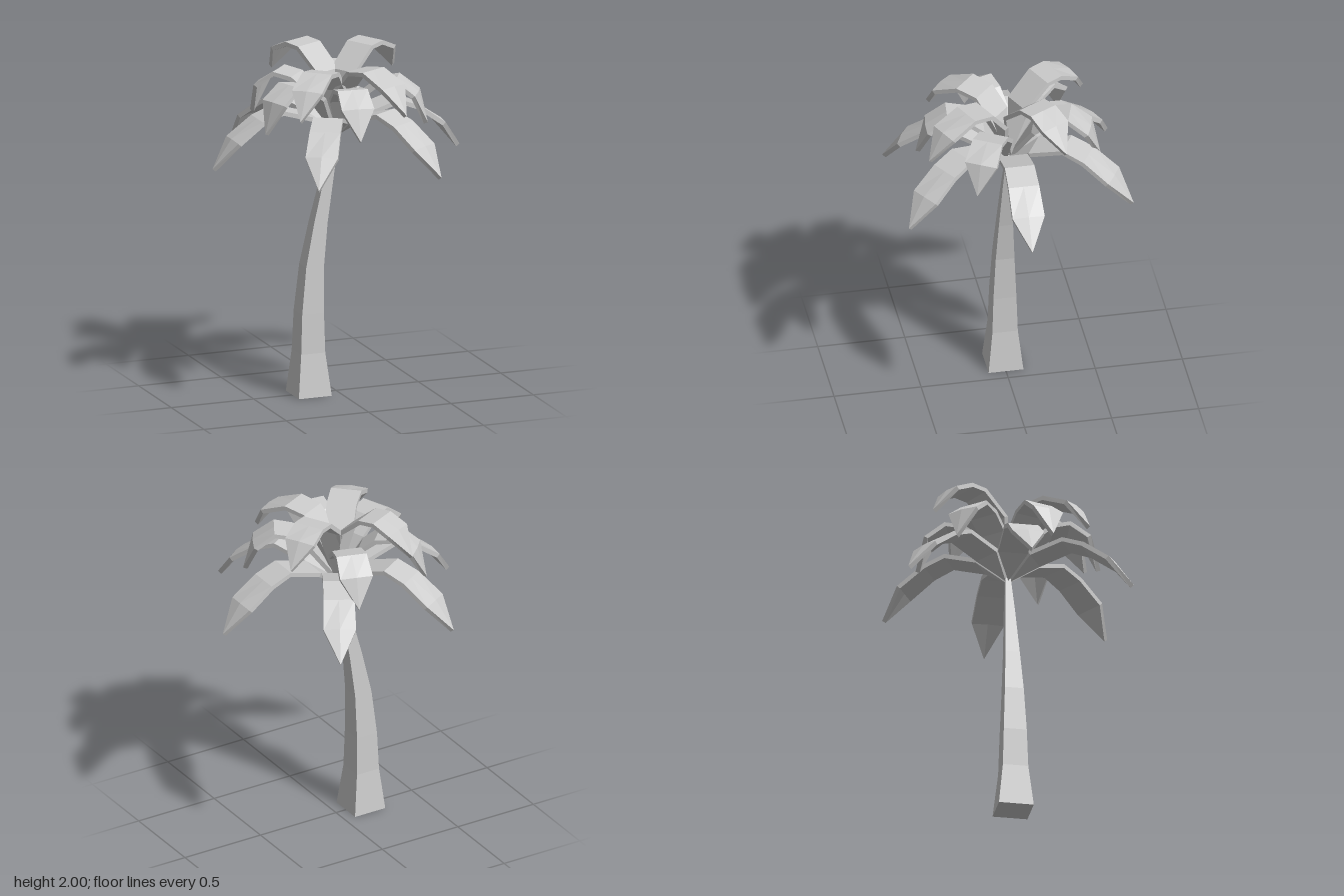
import * as THREE from 'three';

const material = new THREE.MeshStandardMaterial({ color: 0xcccccc, flatShading: true });

// Closed skin over a row of rings, with both ends capped; empty triangles are dropped
function loft(rings) {
  const out = [];
  const tri = (a, b, c) => {
    const n = b.clone().sub(a).cross(c.clone().sub(a));
    if (n.length() > 1e-9) out.push(...a.toArray(), ...b.toArray(), ...c.toArray());
  };
  const count = rings[0].length;
  for (let s = 0; s < rings.length - 1; s++) {
    const a = rings[s], b = rings[s + 1];
    for (let i = 0; i < count; i++) {
      const j = (i + 1) % count;
      tri(a[i], a[j], b[j]);
      tri(a[i], b[j], b[i]);
    }
  }
  const first = rings[0], last = rings[rings.length - 1];
  for (let i = 1; i < count - 1; i++) {
    tri(first[0], first[i + 1], first[i]);
    tri(last[0], last[i], last[i + 1]);
  }
  const geometry = new THREE.BufferGeometry();
  geometry.setAttribute('position', new THREE.Float32BufferAttribute(out, 3));
  geometry.computeVertexNormals();
  return geometry;
}

// Leaf along +x from a profile of [distance, height, half width, ridge]
function leafGeometry(profile, thickness = 0.026) {
  const rings = profile.map(([r, y, w, ridge = 0], i) => {
    const p = profile[Math.max(i - 1, 0)], q = profile[Math.min(i + 1, profile.length - 1)];
    const normal = new THREE.Vector2(p[1] - q[1], q[0] - p[0]).normalize();
    const point = (offset, z) => new THREE.Vector3(r + normal.x * offset, y + normal.y * offset, z);
    return [
      point(0, -w), point(ridge, 0), point(0, w),
      point(-thickness, w), point(ridge - thickness, 0), point(-thickness, -w),
    ];
  });
  return loft(rings);
}

// Leaf tiers: side profile and compass angles (degrees from +x towards +z)
const tiers = [
  {
    name: 'lowerLeaf',
    angles: [0, 59, 119, 180, 239, 299.5],
    profile: [[0, 1.52, 0], [0.15, 1.63, 0.085], [0.35, 1.69, 0.085], [0.48, 1.64, 0.088], [0.63, 1.53, 0.092, 0.008], [0.75, 1.37, 0]],
  },
  {
    name: 'middleLeaf',
    angles: [30, 96, 161, 224, 287],
    profile: [[0, 1.53, 0], [0.14, 1.75, 0.08], [0.24, 1.83, 0.085], [0.35, 1.85, 0.088], [0.465, 1.765, 0.095, 0.008], [0.525, 1.59, 0]],
  },
  {
    name: 'upperFrontLeaf',
    angles: [65, 133],
    profile: [[0, 1.55, 0], [0.06, 1.79, 0.085], [0.16, 1.91, 0.085], [0.29, 1.93, 0.088], [0.45, 1.86, 0.092, 0.008], [0.55, 1.71, 0]],
  },
  {
    name: 'upperBackLeaf',
    angles: [245, 331],
    profile: [[0, 1.55, 0], [0.06, 1.86, 0.085], [0.21, 1.99, 0.09], [0.31, 2.0, 0.09], [0.42, 1.95, 0.092, 0.008], [0.52, 1.81, 0]],
  },
];

export function createModel() {
  const tree = new THREE.Group();
  tree.name = 'palmTree';

  // Square, tapering, leaning trunk: [height, centre x, half width]
  const trunkRings = [
    [0, -0.165, 0.1], [0.25, -0.167, 0.073], [0.48, -0.165, 0.066], [0.75, -0.148, 0.054],
    [1.0, -0.108, 0.041], [1.3, -0.046, 0.027], [1.53, 0.005, 0.014],
  ].map(([y, x, h]) =>
    [[-1, 1], [1, 1], [1, -1], [-1, -1]].map(([sx, sz]) => new THREE.Vector3(x + sx * h, y, sz * h)));
  const trunk = new THREE.Mesh(loft(trunkRings), material);
  trunk.name = 'trunk';
  tree.add(trunk);

  // Crown of drooping leaves
  const crown = new THREE.Group();
  crown.name = 'crown';
  for (const { name, angles, profile } of tiers) {
    const geometry = leafGeometry(profile);
    angles.forEach((angle, i) => {
      const leaf = new THREE.Mesh(geometry, material);
      leaf.name = `${name}${i + 1}`;
      leaf.rotation.y = -THREE.MathUtils.degToRad(angle);
      crown.add(leaf);
    });
  }
  tree.add(crown);
  return tree;
}
